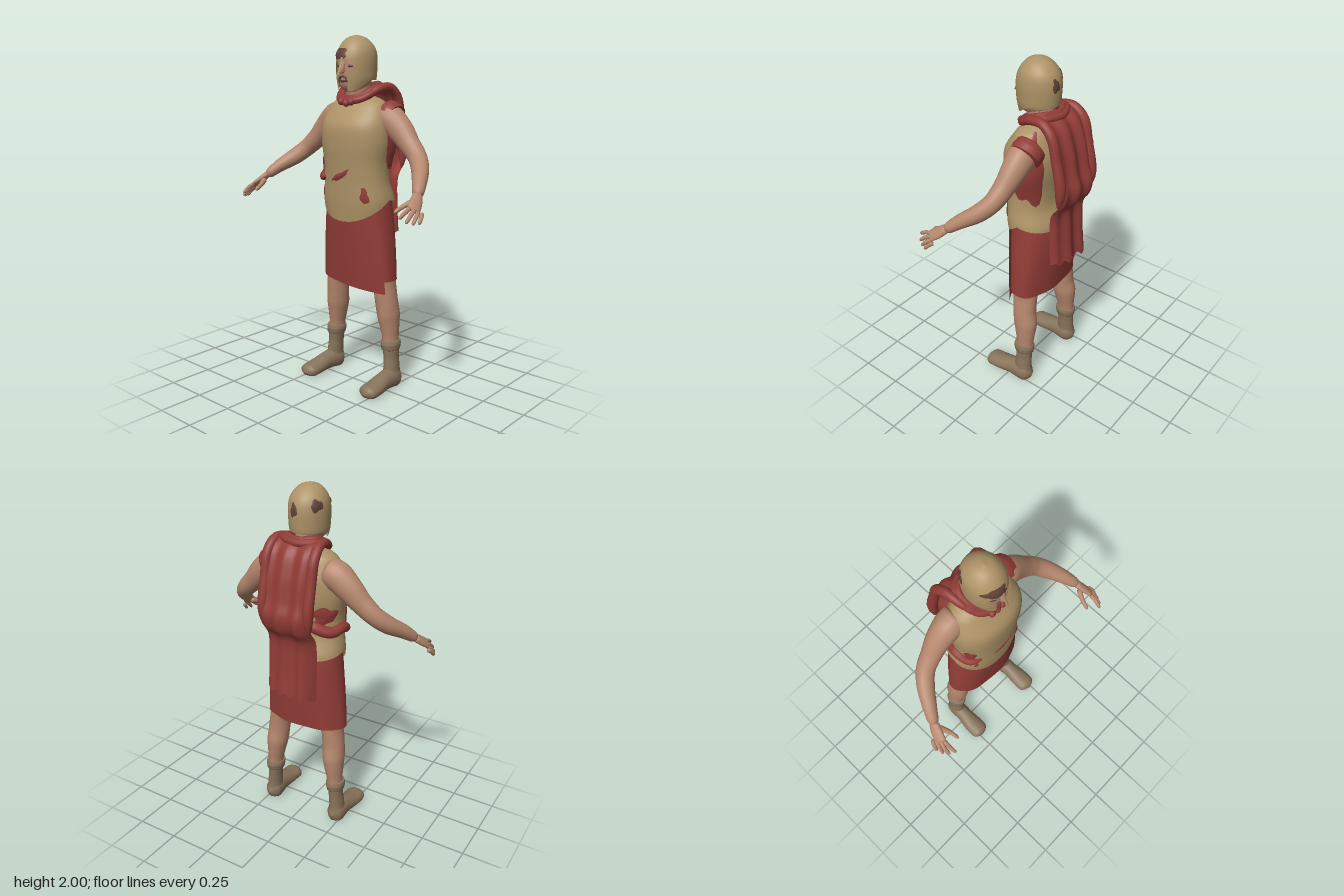
import * as THREE from 'three';

const mat = (name, color) => {
  const m = new THREE.MeshStandardMaterial({ color, side: THREE.DoubleSide });
  m.name = name;
  return m;
};
const V = (a) => new THREE.Vector3(...a);
const TAU = Math.PI * 2;

export function createModel() {
  const root = new THREE.Group();
  root.name = 'warrior';
  const bronze = mat('bronze', 0xae9367), red = mat('red cloth', 0x923c37), skin = mat('skin', 0xb5876d);
  const leather = mat('boot leather', 0x88745b), dark = mat('dark tarnish', 0x604239);

  const add = (name, geo, material) => {
    const m = new THREE.Mesh(geo, material);
    m.name = name;
    root.add(m);
    return m;
  };

  // Smooth grid surface from fn(u, v) -> Vector3; closed wraps u.
  function surf(name, material, fn, nu, nv, closed = true) {
    const pos = [], idx = [], cols = closed ? nu : nu + 1;
    for (let j = 0; j <= nv; j++)
      for (let i = 0; i < cols; i++) pos.push(...fn(i / nu, j / nv).toArray());
    for (let j = 0; j < nv; j++)
      for (let i = 0; i < nu; i++) {
        const k = (i + 1) % cols, a = j * cols + i, b = j * cols + k, c = b + cols, d = a + cols;
        idx.push(a, b, c, a, c, d);
      }
    const g = new THREE.BufferGeometry();
    g.setAttribute('position', new THREE.Float32BufferAttribute(pos, 3));
    g.setIndex(idx);
    g.computeVertexNormals();
    return add(name, g, material);
  }

  // Body profile: rows of [y, half width, front z, back z], smoothly interpolated.
  const profile = (rows, power = 0.9) => {
    const slope = (i, k) => {
      const a = rows[Math.max(i - 1, 0)], b = rows[Math.min(i + 1, rows.length - 1)];
      return (b[k] - a[k]) / (b[0] - a[0]);
    };
    const at = (y, k) => {
      let i = 0;
      while (i < rows.length - 2 && y > rows[i + 1][0]) i++;
      const h = rows[i + 1][0] - rows[i][0], t = THREE.MathUtils.clamp((y - rows[i][0]) / h, 0, 1);
      const t2 = t * t, t3 = t2 * t;
      return rows[i][k] * (2 * t3 - 3 * t2 + 1) + slope(i, k) * h * (t3 - 2 * t2 + t)
        + rows[i + 1][k] * (3 * t2 - 2 * t3) + slope(i + 1, k) * h * (t3 - t2);
    };
    const pw = (n) => Math.sign(n) * Math.abs(n) ** power;
    return (th, y, off = 0) => {
      const f = at(y, 2), b = at(y, 3);
      return new THREE.Vector3((Math.max(at(y, 1), 0) + off) * pw(Math.sin(th)), y,
        (f + b) / 2 + (Math.max((f - b) / 2, 0) + off) * pw(Math.cos(th)));
    };
  };

  // Tapered tube through points; radii are [across, along ref] per point.
  function limb(name, material, pts, radii, { ref = [0, 0, 1], round = 30, n = 14, floor = -1 } = {}) {
    const curve = new THREE.CatmullRomCurve3(pts.map(V)), nv = pts.length * 5;
    return surf(name, material, (u, t) => {
      const c = curve.getPoint(t), T = curve.getTangent(t);
      const A = V(ref).cross(T).normalize(), B = T.clone().cross(A);
      const s = t * (pts.length - 1), i = Math.min(Math.floor(s), pts.length - 2);
      const r = [0, 1].map((k) => THREE.MathUtils.lerp([radii[i]].flat()[k] ?? radii[i], [radii[i + 1]].flat()[k] ?? radii[i + 1], s - i));
      const f = Math.min(1, Math.sqrt(t * round), Math.sqrt((1 - t) * round));
      c.addScaledVector(A, Math.cos(u * TAU) * r[0] * f).addScaledVector(B, Math.sin(u * TAU) * r[1] * f);
      c.y = Math.max(c.y, floor);
      return c;
    }, n, nv);
  }

  // Ragged patch lying on a profile surface.
  const blot = (name, material, body, t0, y0, a, b, off = 0.005, tilt = 0) =>
    surf(name, material, (u, v) => {
      const w = -u * TAU, r = v * (1 + 0.14 * Math.sin(3 * w + t0 * 5) + 0.1 * Math.sin(5 * w + y0 * 9));
      const dx = r * Math.cos(w);
      return body(t0 + a * dx, y0 + b * r * Math.sin(w) + tilt * dx, off * (1 - 0.6 * v * v));
    }, 28, 6);

  // Cuirass with a pointed front hem
  const torso = profile([[0.97, 0.2, 0.09, -0.2], [1.08, 0.222, 0.1, -0.215], [1.2, 0.205, 0.105, -0.178],
    [1.3, 0.203, 0.112, -0.178], [1.42, 0.22, 0.12, -0.195], [1.52, 0.215, 0.112, -0.195], [1.6, 0.19, 0.06, -0.17],
    [1.64, 0.165, 0.03, -0.15], [1.66, 0.12, 0, -0.13], [1.68, 0.05, -0.03, -0.1]]);
  surf('cuirass', bronze, (u, v) => {
    const c = Math.cos(u * TAU), low = c > 0 ? 1.1 - 0.125 * c : 1.1 + 0.03 * c;
    return torso(u * TAU, THREE.MathUtils.lerp(low, 1.68, v));
  }, 48, 40);

  // Cloth showing on the cuirass
  blot('sideCloth', red, torso, 2.05, 1.43, 0.5, 0.19, 0.02);
  blot('frontTear', red, torso, 0, 1.235, 0.26, 0.018, 0.008, 0.03);
  blot('hipTear', red, torso, 0.7, 1.13, 0.13, 0.045);
  blot('smallHipTear', red, torso, -0.8, 1.13, 0.06, 0.03);
  blot('waistTear', red, torso, -1.1, 1.28, 0.22, 0.06, 0.008);
  blot('backTear', red, torso, -2.3, 1.33, 0.4, 0.05, 0.012);
  const sash = [[-0.65, 1.215], [-1.1, 1.21], [-1.6, 1.24], [-2.1, 1.23], [-2.6, 1.26], [-2.95, 1.3]];
  limb('sash', red, sash.map(([t, y]) => torso(t, y, 0.004).toArray()),
    [0.016, 0.026, 0.03, 0.032, 0.034, 0.025], { ref: [0, 1, 0], round: 8 });

  // Wrapped kilt: the front panel hangs lower and overlaps the back one
  const kilt = profile([[0.56, 0.25, 0.042, -0.178], [0.64, 0.246, 0.05, -0.182], [0.8, 0.234, 0.063, -0.193],
    [1, 0.21, 0.078, -0.203], [1.12, 0.196, 0.08, -0.19]]);
  surf('kilt', red, (u, v) => {
    const th = 0.95 + u * (TAU + 0.15);
    const low = th < 4.71 ? 0.637 : 0.637 - 0.068 * Math.min(1, (th - 4.71) / 2.6);
    return kilt(th, THREE.MathUtils.lerp(low, 1.12, v), 0.012 * u + 0.003 * Math.sin(th * 7) * (1 - v));
  }, 64, 14, false);

  // Head and neck
  limb('neck', skin, [[0, 1.6, -0.06], [0, 1.68, -0.05], [0, 1.8, -0.03]], [0.09, 0.07, 0.072]);
  const head = profile([[1.695, 0.035, 0.045, -0.07], [1.72, 0.07, 0.072, -0.1], [1.8, 0.092, 0.079, -0.13],
    [1.9, 0.092, 0.074, -0.14]]);
  surf('head', skin, (u, v) => head(u * TAU, 1.695 + 0.2 * v), 28, 14);
  limb('nose', skin, [[0, 1.86, 0.073], [0, 1.815, 0.09], [0, 1.79, 0.085]], [0.01, 0.014, 0.014], { round: 6 });
  blot('mouth', dark, head, 0, 1.752, 0.3, 0.007);
  for (const s of [1, -1]) {
    blot('eye', dark, head, s * 0.45, 1.832, 0.16, 0.007);
    limb('moustache', dark, [[0, 1.778, 0.086], [s * 0.02, 1.772, 0.082], [s * 0.03, 1.74, 0.077]], [0.006, 0.006, 0.004], { round: 8, n: 8 });
  }

  // Helmet: closed dome, then a lower shell with an eye and mouth opening
  const helm = profile([[1.69, 0.075, 0.082, -0.125], [1.75, 0.1, 0.086, -0.15], [1.8, 0.106, 0.09, -0.157],
    [1.88, 0.107, 0.088, -0.158], [1.93, 0.097, 0.07, -0.143], [1.97, 0.069, 0.04, -0.108],
    [1.99, 0.04, 0.01, -0.075], [2, 0, -0.03, -0.03]], 1);
  surf('helmetDome', bronze, (u, v) => helm(u * TAU, 1.87 + 0.13 * Math.sin(v * Math.PI / 2)), 36, 14);
  const gaps = [[1.69, 0.36], [1.785, 0.3], [1.82, 0.78], [1.85, 0.72], [1.87, 0]];
  const gap = (y) => {
    const i = Math.max(1, gaps.findIndex((g) => y <= g[0] + 1e-6)), [a, b] = [gaps[i - 1], gaps[i]];
    return THREE.MathUtils.lerp(a[1], b[1], (y - a[0]) / (b[0] - a[0]));
  };
  surf('helmetShell', bronze, (u, v) => {
    const front = 1 - THREE.MathUtils.smoothstep(Math.min(u, 1 - u) * TAU, 0.5, 1.6);
    const y = THREE.MathUtils.lerp(1.757 - 0.057 * front, 1.87, v), g = gap(y);
    return helm(g + u * (TAU - 2 * g), y);
  }, 44, 28, false);
  limb('noseGuard', bronze, [[0, 1.885, 0.086], [0, 1.84, 0.098], [0, 1.775, 0.124]], [[0.011, 0.005], [0.009, 0.005], [0.007, 0.004]], { n: 8 });
  blot('browTarnish', dark, helm, -0.3, 1.898, 0.6, 0.03, 0.006);
  blot('rearTarnish', dark, helm, 4.1, 1.9, 0.3, 0.03);
  blot('napeTarnish', dark, helm, 2.95, 1.875, 0.2, 0.035);

  // Scarf rolls round the neck, with a small knot
  const roll = [[0, 1.645, 0.045], [0.075, 1.655, 0.02], [0.115, 1.695, -0.05], [0.105, 1.72, -0.13], [0, 1.715, -0.175]];
  const ring = [...roll, ...roll.slice(1, 4).reverse().map(([x, y, z]) => [-x, y, z])];
  [[1, 0, 0.021], [0.85, 0.012, 0.019]].forEach(([k, dy, r]) => {
    const pts = ring.map(([x, y, z]) => V([x * k, y + dy, (z + 0.06) * k - 0.06]));
    add('scarf', new THREE.TubeGeometry(new THREE.CatmullRomCurve3(pts, true), 48, r, 10, true), red);
  });
  for (const x of [-0.035, 0, 0.035]) {
    const k = add('scarfKnot', new THREE.SphereGeometry(0.02, 12, 8), red);
    k.position.set(x, 1.64 - (x ? 0 : 0.008), 0.055);
  }

  // Cape with curled edges and a ragged hem
  const fall = new THREE.CatmullRomCurve3([[0, 0.87, -0.28], [0, 1.05, -0.265], [0, 1.2, -0.265], [0, 1.27, -0.305],
    [0, 1.34, -0.318], [0, 1.42, -0.295], [0, 1.56, -0.265], [0, 1.68, -0.215], [0, 1.725, -0.14], [0, 1.69, -0.08]].map(V));
  surf('cape', red, (u, v) => {
    const p = fall.getPoint(v), e = Math.abs(2 * u - 1);
    p.x = (0.5 - u) * (0.3 - 0.04 * v);
    p.z += 0.06 * e ** 6 * (1 - v) - 0.009 * Math.cos(u * TAU * 2.5);
    if (v === 0) p.y += 0.012 * Math.sin(u * 31) + 0.02 * (0.5 - u);
    return p;
  }, 40, 50, false);

  for (const s of [1, -1]) {
    const m = (pts) => pts.map(([x, y, z]) => [s * x, y, z]);
    limb('capeFold', red, m([[0.1, 1.665, 0], [0.125, 1.71, -0.08], [0.135, 1.715, -0.16], [0.14, 1.66, -0.22], [0.14, 1.54, -0.25], [0.14, 1.38, -0.28], [0.14, 1.25, -0.27]]),
      [0.018, 0.024, 0.026, 0.028, 0.028, 0.03, 0.018], { ref: [1, 0, 0], round: 10 });

    // Arms, hands and fingers
    limb('arm', skin, m([[0.13, 1.57, -0.085], [0.2, 1.545, -0.085], [0.27, 1.49, -0.085], [0.34, 1.42, -0.075], [0.41, 1.355, -0.055],
      [0.465, 1.3, -0.005], [0.52, 1.245, 0.075], [0.565, 1.185, 0.15]]),
    [0.075, [0.084, 0.08], [0.075, 0.068], [0.06, 0.056], [0.052, 0.05], [0.05, 0.047], 0.039, 0.027], { n: 18 });
    limb('palm', skin, m([[0.555, 1.2, 0.135], [0.578, 1.165, 0.18], [0.6, 1.13, 0.232]]), [[0.026, 0.021], [0.035, 0.018], [0.036, 0.013]],
      { ref: [s * 0.65, 0.63, 0.16], round: 9 });
    const tips = [[0.577, 1.1, 0.32], [0.605, 1.078, 0.3], [0.625, 1.068, 0.27], [0.638, 1.068, 0.235]];
    tips.forEach(([x, y, z], i) => {
      const b = [0.582 + i * 0.012, 1.145 - i * 0.009, 0.23 - i * 0.016];
      limb('finger', skin, m([b, [(b[0] + x) / 2 + 0.004, (b[1] + y) / 2 + 0.006, (b[2] + z) / 2], [x, y, z]]), [0.012, 0.011, 0.009], { round: 8, n: 8 });
    });
    limb('thumb', skin, m([[0.558, 1.17, 0.165], [0.53, 1.145, 0.22], [0.515, 1.118, 0.278]]), [0.018, 0.013, 0.01], { round: 8, n: 8 });

    // Legs
    limb('leg', skin, m([[0.1, 0.98, -0.075], [0.14, 0.8, -0.07], [0.178, 0.6, -0.075], [0.19, 0.5, -0.08], [0.197, 0.42, -0.09], [0.208, 0.3, -0.095], [0.213, 0.2, -0.095]]),
      [0.095, 0.085, [0.06, 0.075], [0.063, 0.07], [0.062, 0.074], [0.045, 0.055], [0.04, 0.05]], { n: 18 });

    // Boots
    limb('bootShaft', leather, m([[0.213, 0.26, -0.093], [0.218, 0.17, -0.093], [0.223, 0.1, -0.09], [0.226, 0.03, -0.09]]),
      [[0.046, 0.056], [0.04, 0.052], [0.042, 0.056], [0.05, 0.065]]);
    limb('bootCuff', leather, m([[0.212, 0.275, -0.093], [0.213, 0.25, -0.093], [0.215, 0.215, -0.093]]),
      [[0.052, 0.06], [0.056, 0.066], [0.05, 0.06]], { round: 20 });
    limb('bootFoot', leather, m([[0.222, 0.04, -0.157], [0.225, 0.045, -0.09], [0.228, 0.045, -0.01], [0.232, 0.034, 0.07], [0.232, 0.028, 0.125], [0.23, 0.022, 0.172]]),
      [[0.045, 0.06], [0.052, 0.07], [0.05, 0.055], [0.06, 0.043], [0.06, 0.04], [0.05, 0.035]], { ref: [0, 1, 0], round: 9, floor: 0, n: 18 });
  }

  // Torn sleeve on the left shoulder
  limb('tornSleeve', red, [[0.15, 1.575, -0.1], [0.18, 1.56, -0.1], [0.215, 1.54, -0.1]], [0.085, 0.09, 0.087], { round: 40, n: 18 });

  return root;
}
